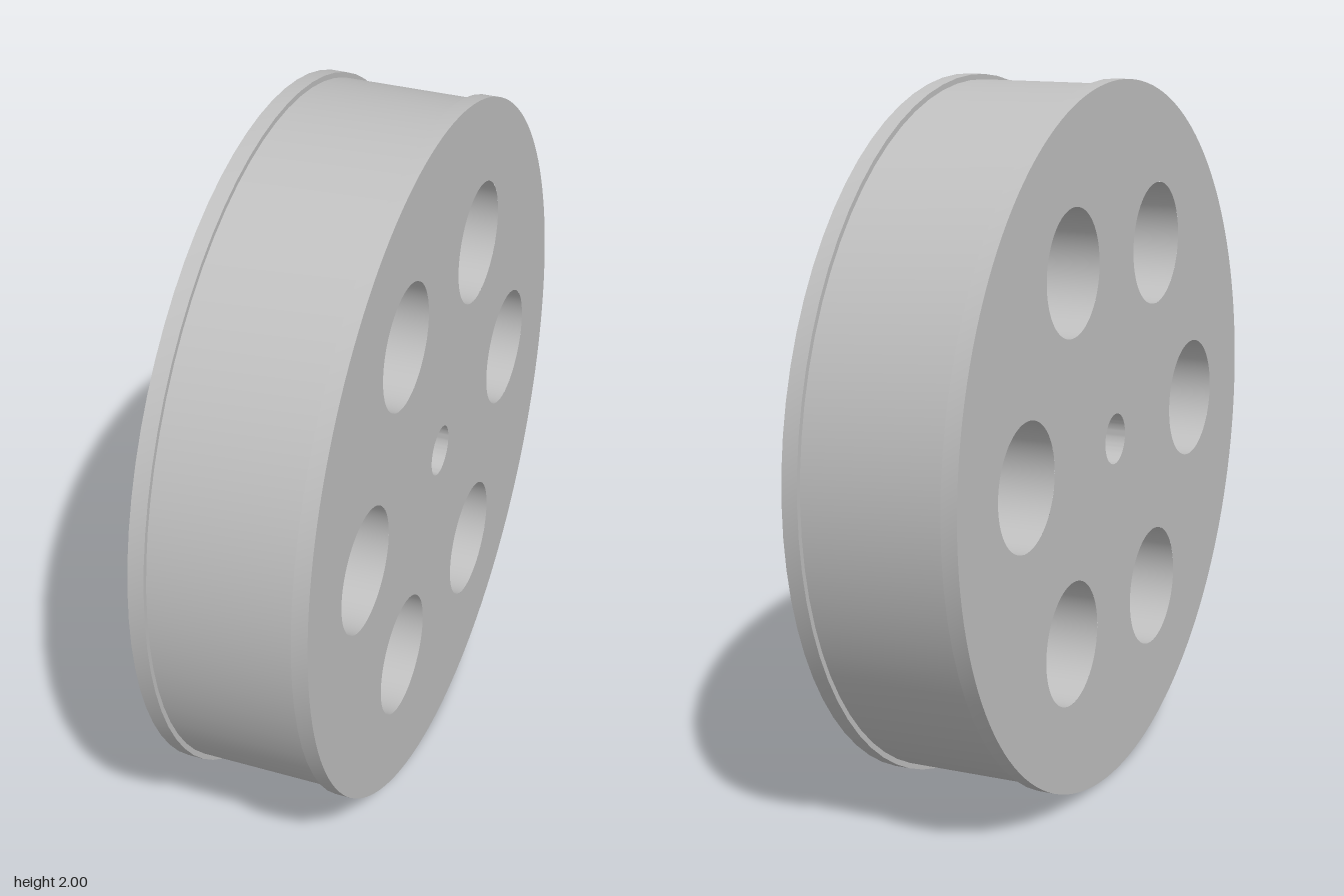
import * as THREE from 'three';
import { toCreasedNormals } from 'three/addons/utils/BufferGeometryUtils.js';

const HALF = 0.245, RIM = 1, DRUM = 0.985, FLANGE = 0.2;
const HUB = { r: 0.072, z: 0, y: 0 };
const HOLES = Array.from({ length: 6 }, (_, i) => {
  const a = (i * Math.PI) / 3;
  return { r: 0.175, z: 0.594 * Math.cos(a), y: 0.594 * Math.sin(a) };
});

// Surface of revolution about the x axis from [radius, x] pairs
function turned(profile, segments) {
  const points = profile.map(([r, x]) => new THREE.Vector2(r, x));
  const geometry = new THREE.LatheGeometry(points, segments).rotateZ(-Math.PI / 2);
  return toCreasedNormals(geometry, Math.PI / 6);
}

export function createModel() {
  const grey = new THREE.MeshStandardMaterial({ color: 0xc0c0c0 });
  grey.name = 'light grey metal';

  const model = new THREE.Group();
  model.name = 'wheel';
  const add = (name, geometry, y = 0, z = 0) => {
    const mesh = new THREE.Mesh(geometry, grey);
    mesh.name = name;
    mesh.position.set(0, 1 + y, z);
    model.add(mesh);
  };

  // Drum with a low flange along each edge
  add('flangedRim', turned([
    [RIM, -HALF], [RIM, -FLANGE], [DRUM, -FLANGE],
    [DRUM, FLANGE], [RIM, FLANGE], [RIM, HALF],
  ], 72));

  // Flat side faces, pierced by the axle bore and six round holes
  const disc = new THREE.Shape().absarc(0, 0, RIM, 0, Math.PI * 2);
  for (const { r, z, y } of [HUB, ...HOLES]) {
    disc.holes.push(new THREE.Path().absarc(z, y, r, 0, Math.PI * 2, true));
  }
  for (const side of [1, -1]) {
    const face = new THREE.ShapeGeometry(disc, 72);
    face.rotateY((side * Math.PI) / 2).translate(side * HALF, 0, 0);
    add(side > 0 ? 'leftFace' : 'rightFace', face);
  }

  // Inner walls of the bore and holes, facing inwards
  const wall = (r) => turned([[r, HALF], [r, -HALF]], 72);
  add('axleBore', wall(HUB.r));
  const holeWall = wall(HOLES[0].r);
  HOLES.forEach(({ z, y }, i) => add(`holeWall${i + 1}`, holeWall, y, z));

  return model;
}
